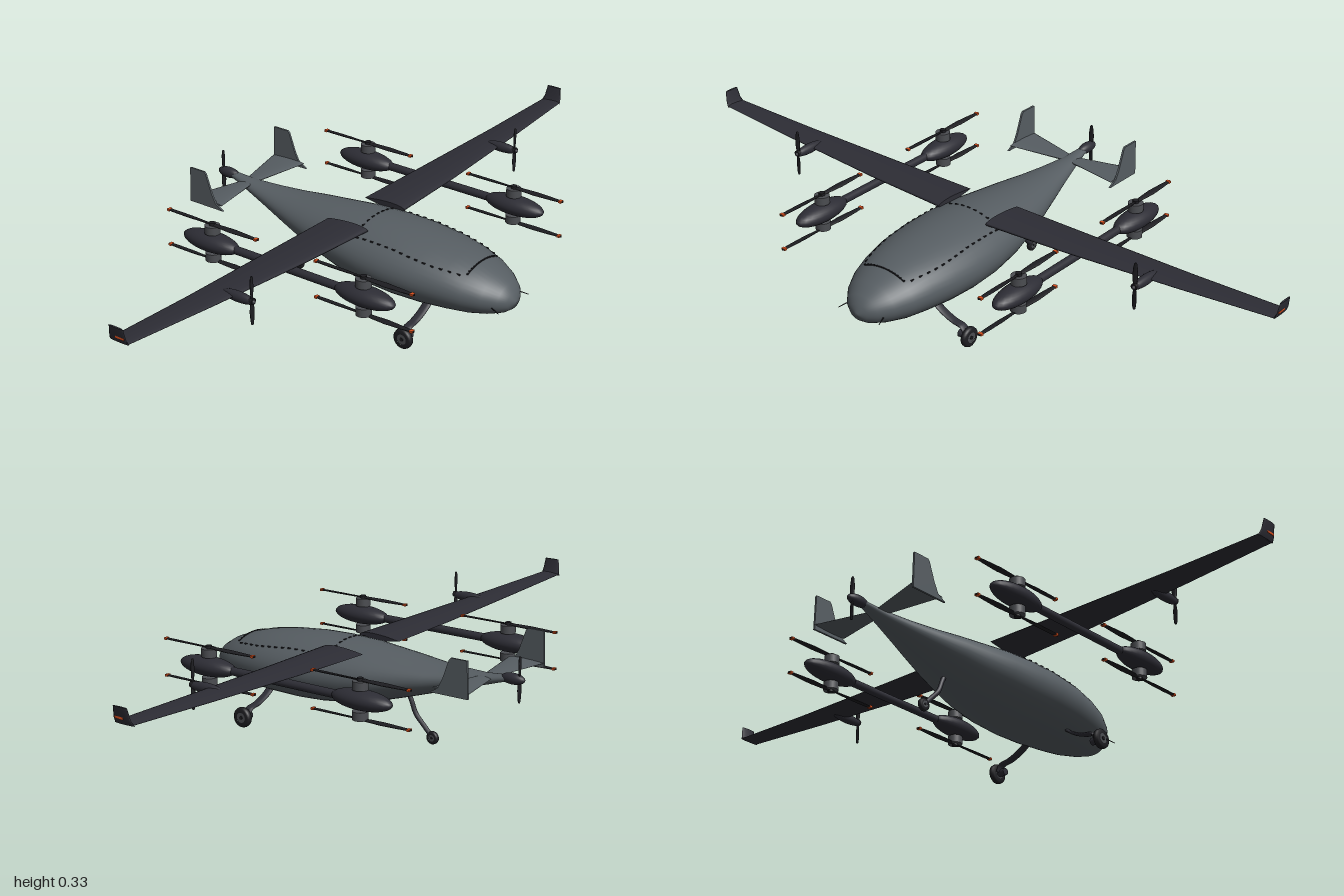
import * as THREE from 'three';

const V = (x, y, z) => new THREE.Vector3(x, y, z);
const paint = (name, color) => new THREE.MeshStandardMaterial({ name, color });

// Fuselage stations: z, half width, bottom, top
const STATIONS = [
  [0.53, 0.004, 0.13, 0.136], [0.522, 0.032, 0.112, 0.16], [0.505, 0.057, 0.1, 0.18],
  [0.47, 0.086, 0.089, 0.202], [0.42, 0.112, 0.08, 0.223], [0.36, 0.13, 0.075, 0.24],
  [0.28, 0.146, 0.071, 0.253], [0.19, 0.153, 0.07, 0.261], [0.1, 0.15, 0.074, 0.264],
  [0, 0.137, 0.088, 0.262], [-0.08, 0.118, 0.106, 0.256], [-0.16, 0.098, 0.13, 0.25],
  [-0.24, 0.074, 0.155, 0.243], [-0.32, 0.05, 0.18, 0.24], [-0.4, 0.028, 0.205, 0.24],
  [-0.46, 0.015, 0.224, 0.246], [-0.475, 0.012, 0.228, 0.247],
];

// Height of the fuselage's upper skin
function skinTop(x, z) {
  const i = Math.max(1, STATIONS.findIndex((s) => s[0] <= z));
  const a = STATIONS[i - 1], b = STATIONS[i], t = (z - a[0]) / (b[0] - a[0]);
  const [w, lo, hi] = [1, 2, 3].map((k) => a[k] + (b[k] - a[k]) * t);
  return (lo + hi) / 2 + ((hi - lo) / 2) * Math.sqrt(Math.max(0, 1 - (x / w) ** 2));
}

// Skin through closed rings with capped ends, always wound outward
function loft(rings) {
  const n = rings[0].length, p = rings.flat(), idx = [];
  for (let r = 0; r < rings.length - 1; r++) for (let i = 0; i < n; i++) {
    const a = r * n + i, b = r * n + (i + 1) % n;
    idx.push(a, b, a + n, b, b + n, a + n);
  }
  [rings[0], rings[rings.length - 1]].forEach((ring, end) => {
    const base = p.length;
    p.push(...ring, ring.reduce((c, v) => c.add(v), V(0, 0, 0)).divideScalar(n));
    for (let i = 0; i < n; i++) {
      const a = base + i, b = base + (i + 1) % n;
      idx.push(...(end ? [a, b, base + n] : [b, a, base + n]));
    }
  });
  let volume = 0;
  for (let i = 0; i < idx.length; i += 3) {
    volume += p[idx[i]].dot(p[idx[i + 1]].clone().cross(p[idx[i + 2]]));
  }
  if (volume < 0) idx.reverse();
  const g = new THREE.BufferGeometry().setFromPoints(p);
  g.setIndex(idx);
  g.computeVertexNormals();
  return g;
}

const ring = (n, f) => Array.from({ length: n }, (_, i) => f((i / n) * Math.PI * 2));

// Airfoil ring at x, y between leading and trailing z
const airfoil = (x, y, lead, trail, thick) => ring(20, (a) => {
  const u = (1 - Math.cos(a)) / 2;
  const h = Math.sin(a) * thick * 0.5 * Math.sqrt(1.02 - u) * 1.25;
  return V(x, y + h, lead + (trail - lead) * u);
});

export function createModel() {
  const model = new THREE.Group();
  model.name = 'aircraft';
  const grey = paint('hull grey', 0x565d62), dark = paint('wing charcoal', 0x2d2d35);
  const black = paint('propeller black', 0x1d1d21), metal = paint('motor grey', 0x4b4d51);
  const orange = paint('signal orange', 0xd9501e);

  const add = (parent, name, geometry, material, x = 0, y = 0, z = 0) => {
    const m = new THREE.Mesh(geometry, material);
    m.name = name;
    m.position.set(x, y, z);
    parent.add(m);
    return m;
  };
  const ellipsoid = (a, b, c) => new THREE.SphereGeometry(1, 24, 16).scale(a, b, c);
  const cyl = (r, h, r2 = r) => new THREE.CylinderGeometry(r2, r, h, 24);

  // Two-blade propeller spinning about y, blades along z
  function propeller(name, radius, width, tips) {
    const g = new THREE.Group();
    g.name = name;
    add(g, 'propellerHub', cyl(0.009, 0.012), black);
    for (const s of [-1, 1]) {
      const rings = [[0, 0.5], [0.2, 0.75], [0.45, 1], [0.75, 0.85], [0.95, 0.6], [1, 0.3]].map(([t, w]) =>
        ring(10, (a) => {
          const u = Math.cos(a) * width * w / 2, h = Math.sin(a) * 0.0025, k = 0.35 * (1 - t) * s;
          return V(u * Math.cos(k) - h * Math.sin(k), u * Math.sin(k) + h * Math.cos(k), s * radius * t);
        }));
      add(g, 'blade', loft(rings), black);
      if (tips) add(g, 'bladeTip', new THREE.BoxGeometry(width * 0.65, 0.006, 0.009), orange, 0, 0, s * (radius - 0.007));
    }
    model.add(g);
    return g;
  }

  // Fuselage
  add(model, 'fuselage', loft(STATIONS.map(([z, w, lo, hi]) =>
    ring(40, (a) => V(w * Math.cos(a), (lo + hi) / 2 + ((hi - lo) / 2) * Math.sin(a), z)))), grey);

  // Hatch seam, dashed along the sides and solid at the front
  const seam = (x, z, w, l) => add(model, 'hatchSeam', new THREE.BoxGeometry(w, 0.004, l), black, x, skinTop(x, z), z);
  for (let i = 0; i < 14; i++) for (const s of [-1, 1]) {
    const z = 0.07 + i * 0.025;
    seam(s * (0.108 - 0.035 * Math.max(0, (z - 0.25) / 0.17) ** 2), z, 0.004, 0.01);
  }
  for (let i = -6; i <= 6; i++) seam(i * 0.011, 0.415, 0.011, 0.004);
  for (let i = -4; i <= 4; i++) seam(i * 0.022, 0.06, 0.01, 0.004);

  for (const s of [-1, 1]) {
    // Wing and winglet
    add(model, 'wing', loft([
      airfoil(s * 0.085, 0.25, 0.09, -0.05, 0.02), airfoil(s * 0.35, 0.253, 0.078, -0.045, 0.016),
      airfoil(s * 0.7, 0.261, 0.055, -0.034, 0.012), airfoil(s * 0.985, 0.27, 0.035, -0.028, 0.008),
    ]), dark);
    const tip = (x, y, lead, trail) => ring(12, (a) =>
      V(s * (x + Math.sin(a) * 0.003), y, (lead + trail) / 2 + Math.cos(a) * (lead - trail) / 2));
    add(model, 'winglet', loft([tip(0.984, 0.267, 0.036, -0.03),
      tip(0.991, 0.282, 0.034, -0.024), tip(0.997, 0.315, 0.03, -0.018)]), dark);
    add(model, 'tipLight', new THREE.BoxGeometry(0.004, 0.006, 0.028), orange, s * 0.993, 0.285, 0.014);

    // Wing propeller
    add(model, 'wingNacelle', ellipsoid(0.014, 0.015, 0.058), dark, s * 0.61, 0.258, 0.068);
    const puller = propeller('wingPropeller', 0.07, 0.017, false);
    puller.position.set(s * 0.61, 0.26, 0.114);
    puller.rotation.x = Math.PI / 2;

    // Lift boom with two pods, each with an upper and a lower rotor
    add(model, 'liftBoom', cyl(0.012, 0.5), dark, s * 0.355, 0.222, 0.02).rotation.x = Math.PI / 2;
    for (const [podZ, rotorZ] of [[0.285, 0.281], [-0.25, -0.245]]) {
      add(model, 'liftPod', ellipsoid(0.037, 0.028, 0.098), dark, s * 0.355, 0.222, podZ);
      for (const [motorY, rotorY] of [[0.262, 0.276], [0.179, 0.168]]) {
        add(model, 'liftMotor', cyl(0.022, 0.024), metal, s * 0.355, motorY, rotorZ);
        propeller('liftRotor', 0.165, 0.02, true).position.set(s * 0.355, rotorY, rotorZ);
      }
    }

    // Tailplane and end fin
    add(model, 'tailplane', loft([airfoil(0, 0.232, -0.395, -0.43, 0.009),
      airfoil(s * 0.187, 0.236, -0.358, -0.475, 0.008)]), grey);
    const fin = new THREE.Shape([[0.35, 0.222], [0.378, 0.238], [0.392, 0.265], [0.413, 0.322],
      [0.419, 0.328], [0.471, 0.328], [0.474, 0.222]].map(([z, y]) => new THREE.Vector2(z, y)));
    const finGeometry = new THREE.ExtrudeGeometry(fin, { depth: 0.006, bevelEnabled: false });
    finGeometry.translate(0, 0, -0.003).rotateY(Math.PI / 2);
    add(model, 'endFin', finGeometry, grey, s * 0.188, 0, 0);

    // Main landing gear
    const leg = new THREE.TubeGeometry(new THREE.CatmullRomCurve3([V(s * 0.065, 0.1, 0), V(s * 0.1, 0.075, 0),
      V(s * 0.14, 0.058, 0), V(s * 0.175, 0.05, 0), V(s * 0.186, 0.03, 0)]), 24, 0.005, 10);
    add(model, 'mainLeg', leg.scale(1, 1, 2.8), dark, 0, 0, 0.292);
    wheel('mainWheel', s * 0.198, 0.03, 0.297, 0.03, 0.018);
    add(model, 'mainAxle', cyl(0.011, 0.034), dark, s * 0.182, 0.03, 0.297).rotation.z = Math.PI / 2;

    // Nose probe
    const probe = add(model, 'noseProbe', cyl(0.0018, 0.035, 0.001), black, s * 0.068, 0.128, 0.505);
    probe.rotation.set(Math.PI / 2 + 0.2, 0, -s * 0.3);
  }

  // Tyre with rounded shoulders and a metal hub
  function wheel(name, x, y, z, r, w) {
    const profile = [[0.5, -0.5], [0.8, -0.5], [0.95, -0.35], [1, 0], [0.95, 0.35], [0.8, 0.5], [0.5, 0.5]]
      .map(([a, b]) => new THREE.Vector2(a * r, b * w));
    add(model, name, new THREE.LatheGeometry(profile, 28).rotateZ(Math.PI / 2), black, x, y, z);
    add(model, name + 'Hub', cyl(r * 0.52, w * 0.9).rotateZ(Math.PI / 2), metal, x, y, z);
    add(model, name + 'Cap', cyl(r * 0.18, w * 1.15).rotateZ(Math.PI / 2), black, x, y, z);
  }

  // Tail wheel on a curved leg
  const tailLeg = new THREE.CatmullRomCurve3([V(0, 0.14, -0.145), V(0, 0.115, -0.157), V(0, 0.08, -0.172),
    V(0, 0.05, -0.2), V(0, 0.021, -0.229)]);
  add(model, 'tailLeg', new THREE.TubeGeometry(tailLeg, 24, 0.007, 10), dark);
  wheel('tailWheel', 0, 0.02, -0.23, 0.019, 0.014);

  // Tail pusher
  add(model, 'tailSpinner', ellipsoid(0.016, 0.016, 0.038), dark, 0, 0.239, -0.492);
  const pusher = propeller('tailPropeller', 0.065, 0.017, false);
  pusher.position.set(0, 0.239, -0.513);
  pusher.rotation.x = Math.PI / 2;

  return model;
}
